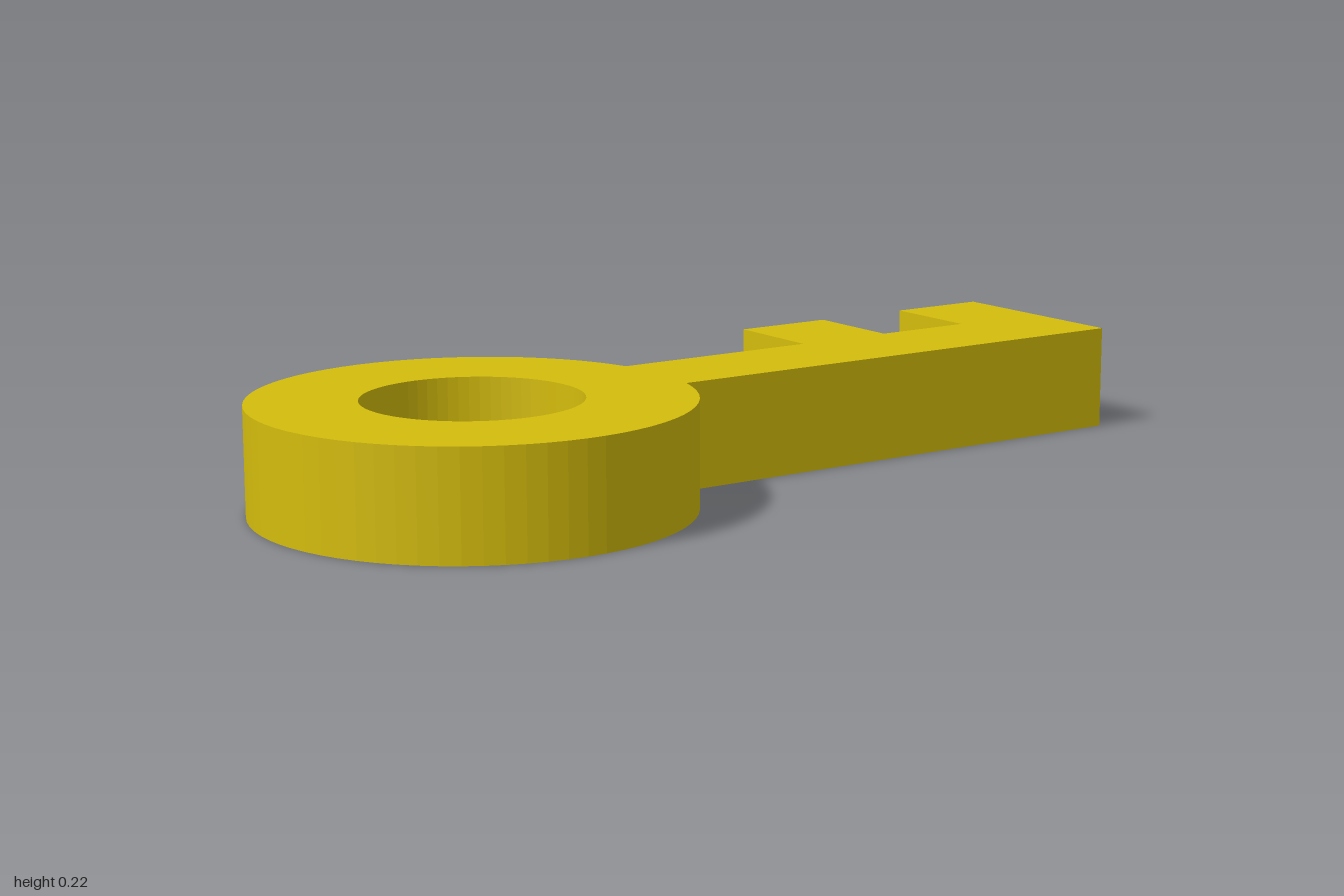
import * as THREE from 'three';

const U = 2 / 9; // base unit: the key is 9 units long, 4 wide and 1 thick

export function createModel() {
  const group = new THREE.Group();
  group.name = 'key';

  // Outline drawn with the bow centred on the origin, teeth towards +y
  const r = 2 * U, half = U / 2;
  const a = Math.asin(half / r);
  const outline = new THREE.Shape();
  outline.absarc(0, 0, r, a, 2 * Math.PI - a, false);

  // Shaft end and the two teeth
  const corners = [[7, -0.5], [7, 1.5], [6, 1.5], [6, 0.5], [5, 0.5], [5, 1.5], [4, 1.5], [4, 0.5]];
  for (const [x, y] of corners) outline.lineTo(x * U, y * U);
  outline.closePath();

  // Round hole through the bow
  const hole = new THREE.Path();
  hole.absarc(0, 0, U, 0, 2 * Math.PI, true);
  outline.holes.push(hole);

  // Lay the key flat on the ground
  const geometry = new THREE.ExtrudeGeometry(outline, { depth: U, bevelEnabled: false, curveSegments: 32 });
  geometry.rotateX(-Math.PI / 2);
  geometry.translate(-2.5 * U, 0, 0);

  const key = new THREE.Mesh(geometry, new THREE.MeshStandardMaterial({ color: 0xd4bc0c, flatShading: true }));
  key.name = 'keyBody';
  group.add(key);
  return group;
}
